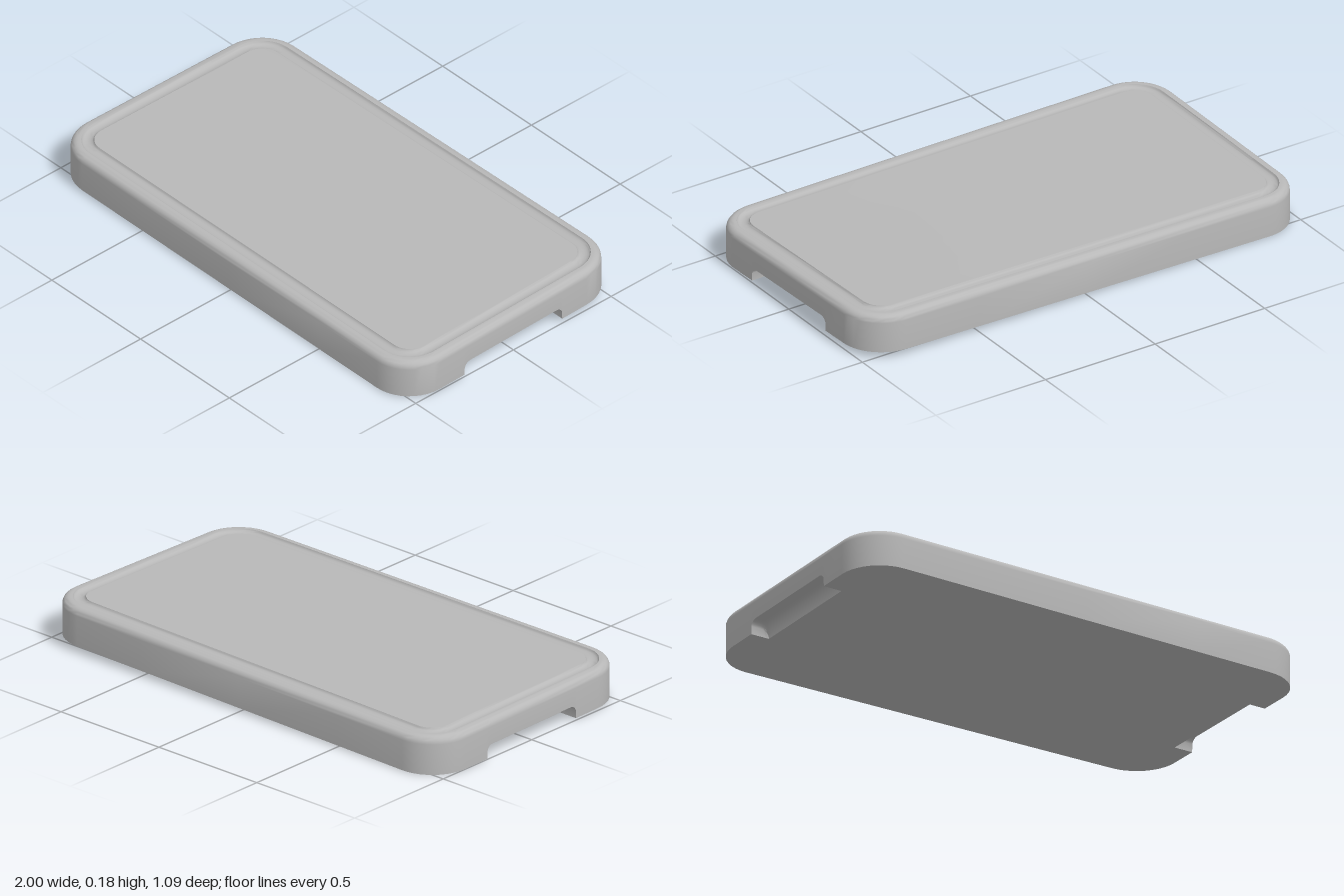
import * as THREE from 'three';
import { toCreasedNormals } from 'three/addons/utils/BufferGeometryUtils.js';

const HALF_X = 1, HALF_Z = 0.545, CORNER = 0.17;
const NOTCH = { half: 0.25, height: 0.055, depth: 0.08, round: 0.03 };

// Outline of the board inset by d, as [x, z] points
function outline(d) {
  const cx = HALF_X - CORNER, cz = HALF_Z - CORNER, r = CORNER - d;
  const half = [0.22, 0.228, 0.237, 0.245, 0.249, 0.25];
  const endZ = [...half.map(v => -v).reverse(), 0, ...half];
  const pts = [];
  const corner = (sx, sz, start) => {
    for (let k = 0; k <= 10; k++) {
      const a = start + (k / 10) * Math.PI / 2;
      pts.push([sx * cx + r * Math.cos(a), sz * cz + r * Math.sin(a)]);
    }
  };
  endZ.forEach(z => pts.push([HALF_X - d, z]));
  corner(1, 1, 0);
  [0.5, 0, -0.5].forEach(x => pts.push([x, HALF_Z - d]));
  corner(-1, 1, Math.PI / 2);
  endZ.forEach(z => pts.push([-HALF_X + d, -z]));
  corner(-1, -1, Math.PI);
  [-0.5, 0, 0.5].forEach(x => pts.push([x, -HALF_Z + d]));
  corner(1, -1, Math.PI * 1.5);
  return pts;
}

// Height of the coved finger notch under each short end
function notchHeight(x, z, d) {
  const az = Math.abs(z);
  if (Math.abs(x) < 0.8 || az >= NOTCH.half - 1e-5 || d >= NOTCH.depth) return 0;
  const t = Math.max(0, az - (NOTCH.half - NOTCH.round));
  const side = NOTCH.height - NOTCH.round + Math.sqrt(NOTCH.round ** 2 - t * t);
  const u = Math.max(0, (d - NOTCH.depth / 2) / (NOTCH.depth / 2));
  return side * Math.sqrt(1 - u * u);
}

// Slight twist of the whole board
function warp(x, z) {
  const v = z / HALF_Z;
  return 0.0115 + 0.005 * x - 0.0035 * v - 0.01 * x * v;
}

function boardGeometry() {
  // Rings from the underside centre, around the wall, to the top centre
  const rings = [];
  const ring = (d, y, scale = 1, under = false) => rings.push({ d, y, scale, under });
  [0, 0.35, 0.7].forEach(s => ring(0.15, 0, s));
  [0.15, 0.08, 0.0795, 0.077, 0.072, 0.064, 0.054, 0.04, 0].forEach(d => ring(d, 0, 1, true));
  for (let k = 0; k <= 6; k++) {
    const a = (k / 6) * Math.PI / 2;
    ring(0.03 * (1 - Math.cos(a)), 0.125 + 0.03 * Math.sin(a));
  }
  // Juice groove between the rim and the cutting surface
  ring(0.038, 0.155);
  for (let k = 0; k <= 8; k++) {
    const a = (k / 8) * Math.PI;
    ring(0.065 - 0.025 * Math.cos(a), 0.155 - 0.013 * Math.sin(a));
  }
  ring(0.095, 0.155);
  [1, 0.7, 0.35, 0].forEach(s => ring(0.15, 0.155, s));

  const pos = [], index = [];
  const n = outline(0).length;
  rings.forEach(({ d, y, scale, under }) => {
    outline(d).forEach(([px, pz]) => {
      const x = px * scale, z = pz * scale;
      pos.push(x, y + (under ? notchHeight(x, z, d) : 0) + warp(x, z), z);
    });
  });
  for (let j = 0; j < rings.length - 1; j++) {
    for (let i = 0; i < n; i++) {
      const i2 = (i + 1) % n;
      const a = j * n + i, b = j * n + i2, c = a + n, e = b + n;
      if (j > 0) index.push(a, c, b);
      if (j < rings.length - 2) index.push(b, c, e);
      // The centre fans keep only the triangle with a real area
      if (j === rings.length - 2) index.splice(-3, 3, a, c, b);
    }
  }
  const geo = new THREE.BufferGeometry();
  geo.setAttribute('position', new THREE.Float32BufferAttribute(pos, 3));
  geo.setIndex(index);
  return toCreasedNormals(geo, 0.6);
}

export function createModel() {
  const group = new THREE.Group();
  group.name = 'cuttingBoard';
  const grey = new THREE.MeshStandardMaterial({ color: 0xb8b8b8 });
  grey.name = 'plainGrey';
  const board = new THREE.Mesh(boardGeometry(), grey);
  board.name = 'board';
  group.add(board);
  return group;
}
